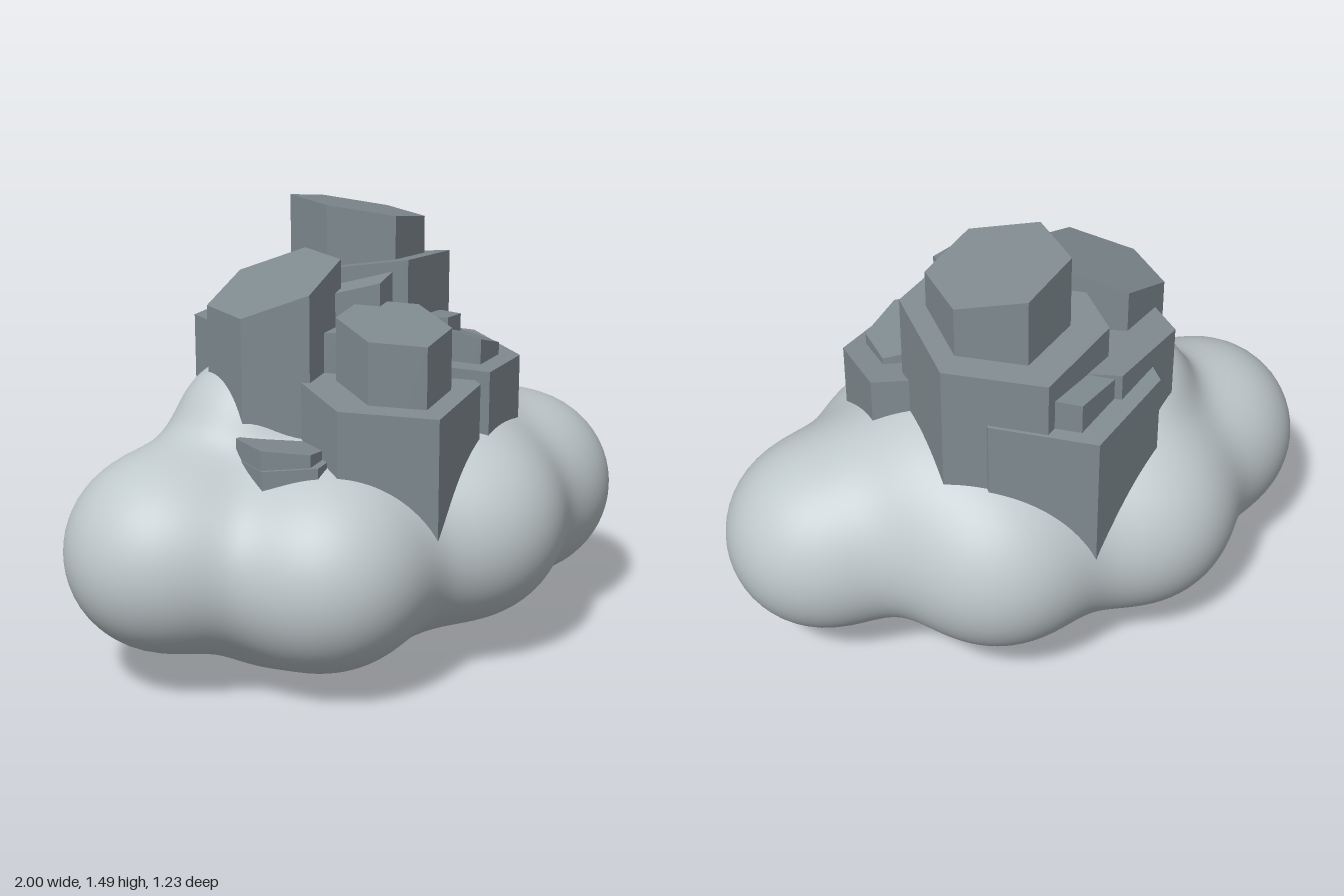
import * as THREE from 'three';
import { mergeVertices } from 'three/addons/utils/BufferGeometryUtils.js';

// Lobes of the billowing base: x, y, z, radius
const LOBES = [
  [-0.688, 0.45, -0.02, 0.31], [0.687, 0.435, 0.025, 0.31],
  [-0.28, 0.41, 0.3, 0.31], [0.28, 0.445, 0.27, 0.305],
  [-0.3, 0.44, -0.29, 0.315], [0.2, 0.455, -0.295, 0.315],
  [0, 0.46, 0, 0.36],
  [0.3, 0.59, -0.06, 0.3], [-0.34, 0.82, -0.1, 0.18], // shoulders under the columns
  [-0.33, 0.24, 0.03, 0.18], [-0.06, 0.235, 0.04, 0.18], // keel
];

// Smoothly blended distance to all lobes
function blend(p) {
  const k = 0.085;
  let sum = 0;
  for (const [x, y, z, r] of LOBES) {
    sum += Math.exp((r - Math.hypot(p.x - x, p.y - y, p.z - z)) / k);
  }
  return -k * Math.log(sum);
}

// Sphere shrink-wrapped onto the blended lobes, resting on the ground
function cloudGeometry() {
  let geo = new THREE.IcosahedronGeometry(1, 30);
  geo.deleteAttribute('normal');
  geo.deleteAttribute('uv');
  geo = mergeVertices(geo, 1e-5);
  const pos = geo.attributes.position;
  const center = new THREE.Vector3(0, 0.46, 0);
  const dir = new THREE.Vector3();
  const p = new THREE.Vector3();
  for (let i = 0; i < pos.count; i++) {
    dir.fromBufferAttribute(pos, i).normalize();
    let t = 1.4;
    for (let n = 0; n < 80; n++) {
      const d = blend(p.copy(center).addScaledVector(dir, t));
      if (d < 1e-4) break;
      t -= d * 0.95;
    }
    p.copy(center).addScaledVector(dir, t);
    pos.setXYZ(i, p.x, p.y, p.z);
  }
  geo.computeBoundingBox();
  geo.translate(0, -geo.boundingBox.min.y, 0);
  geo.computeVertexNormals();
  return geo;
}

// Hexagonal prism whose top is a plane sloping along x and z
function columnGeometry(x, z, r, top, slopeX, slopeZ, bottom) {
  const geo = new THREE.CylinderGeometry(r, r, 1, 6).toNonIndexed();
  const pos = geo.attributes.position;
  for (let i = 0; i < pos.count; i++) {
    const px = pos.getX(i), pz = pos.getZ(i);
    const y = pos.getY(i) > 0 ? top + slopeX * px + slopeZ * pz : bottom;
    pos.setXYZ(i, x + px, y, z + pz);
  }
  geo.computeVertexNormals();
  return geo;
}

// name, x, z, radius, top height, slope in x, slope in z, bottom
const COLUMNS = [
  ['tallColumn', 0.14, -0.17, 0.22, 1.447, -0.2, 0, 0.6],
  ['tallColumnBase', 0.12, -0.17, 0.32, 1.265, 0, 0.19, 0.5],
  ['leaningColumn', -0.27, -0.025, 0.21, 1.27, 0.39, 0, 0.6],
  ['leaningColumnBase', -0.15, -0.14, 0.3, 1.13, 0, 0, 0.5],
  ['backColumnBase', -0.01, -0.24, 0.335, 1.09, 0, 0.25, 0.42],
  ['backColumn', 0.02, -0.27, 0.245, 1.15, 0.1, 0.12, 0.5],
  ['middleColumn', 0, 0.03, 0.14, 1.27, 0.25, 0, 0.6],
  ['frontColumn', -0.025, 0.285, 0.18, 1.172, 0, -0.21, 0.6],
  ['frontColumnBase', -0.025, 0.222, 0.31, 0.985, 0, -0.2, 0.42],
  ['sideColumnBase', 0.285, 0.12, 0.25, 1.015, -0.09, -0.12, 0.5],
  ['sideColumn', 0.3, 0.15, 0.15, 1.075, -0.35, 0, 0.6],
  ['sideColumnCap', 0.25, 0.09, 0.1, 1.12, -0.05, 0.1, 0.6],
  ['smallLedge', -0.36, 0.18, 0.15, 0.815, -0.12, 0, 0.5],
  ['smallLedgeBase', -0.345, 0.18, 0.17, 0.775, 0.05, 0, 0.5],
];

export function createModel() {
  const model = new THREE.Group();
  model.name = 'rockyCloud';

  const cloudGrey = new THREE.MeshStandardMaterial({ color: 0xc0c9cc });
  cloudGrey.name = 'cloudGrey';
  const stoneGrey = new THREE.MeshStandardMaterial({ color: 0x808b90 });
  stoneGrey.name = 'stoneGrey';

  const cloud = new THREE.Mesh(cloudGeometry(), cloudGrey);
  cloud.name = 'cloud';
  model.add(cloud);

  const columns = new THREE.Group();
  columns.name = 'stoneColumns';
  for (const [name, ...dims] of COLUMNS) {
    const column = new THREE.Mesh(columnGeometry(...dims), stoneGrey);
    column.name = name;
    columns.add(column);
  }
  model.add(columns);
  return model;
}
